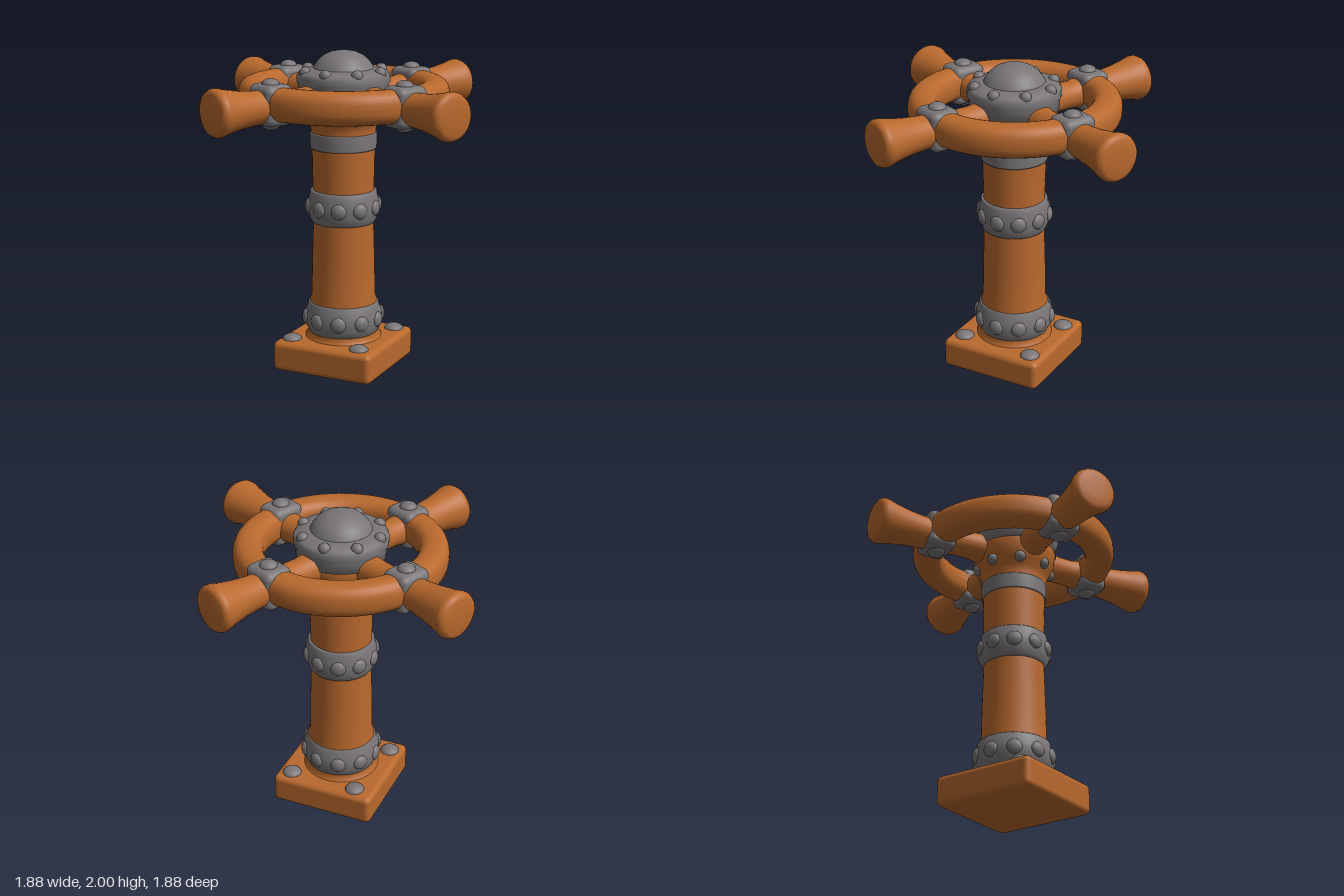
import * as THREE from 'three';
import { RoundedBoxGeometry } from 'three/addons/geometries/RoundedBoxGeometry.js';

const wood = new THREE.MeshStandardMaterial({ name: 'orangeWood', color: 0xb9692d });
const metal = new THREE.MeshStandardMaterial({ name: 'greyMetal', color: 0x7a7678 });

function add(parent, name, geometry, material, x = 0, y = 0, z = 0) {
  const mesh = new THREE.Mesh(geometry, material);
  mesh.name = name;
  mesh.position.set(x, y, z);
  parent.add(mesh);
  return mesh;
}

function lathe(profile, segments = 48) {
  return new THREE.LatheGeometry(profile.map(([r, y]) => new THREE.Vector2(r, y)), segments);
}

// Ring of half-sunk rivets around the vertical axis
function rivetRing(parent, name, count, radius, y, size, squash = 1, phase = 0) {
  const geometry = new THREE.SphereGeometry(size, 14, 10);
  for (let i = 0; i < count; i++) {
    const a = (i + phase) * Math.PI * 2 / count;
    const rivet = add(parent, name, geometry, metal, Math.sin(a) * radius, y, Math.cos(a) * radius);
    rivet.rotation.y = a;
    rivet.scale.z = squash;
  }
}

// Bulging metal band with hammered studs
function studdedBand(parent, name, y, height, edge, belly) {
  const h = height / 2;
  add(parent, name, lathe([
    [edge - 0.04, -h], [edge - 0.005, -h], [edge + 0.005, -h + 0.012], [belly, -h * 0.4],
    [belly, h * 0.3], [edge + 0.012, h - 0.03], [edge + 0.01, h - 0.008], [edge, h], [edge - 0.04, h],
  ]), metal, 0, y, 0);
  rivetRing(parent, name + 'Stud', 10, belly - 0.01, y, 0.05, 0.6, 0.5);
}

function createPost() {
  const post = new THREE.Group();
  post.name = 'post';
  add(post, 'basePlate', new RoundedBoxGeometry(0.67, 0.19, 0.67, 4, 0.035), wood, 0, 0.098, 0);

  // Base bolts
  const bolt = new THREE.SphereGeometry(0.062, 18, 12);
  for (const [x, z] of [[0.24, -0.245], [-0.2, -0.25], [0.22, 0.24], [-0.25, 0.225]]) {
    add(post, 'baseBolt', bolt, metal, x, 0.188, z).scale.y = 0.6;
  }

  // Column flaring into the wheel hub
  add(post, 'column', lathe([
    [0.24, 0.18], [0.24, 0.2], [0.215, 0.22], [0.212, 0.43], [0.2, 0.46], [0.197, 0.65],
    [0.188, 0.95], [0.19, 1.15], [0.195, 1.4], [0.2, 1.52], [0.212, 1.56],
    [0.235, 1.6], [0.255, 1.65], [0.265, 1.72], [0.25, 1.8],
  ]), wood);

  studdedBand(post, 'lowerBand', 0.322, 0.205, 0.212, 0.243);
  studdedBand(post, 'middleBand', 1.038, 0.205, 0.197, 0.222);
  add(post, 'upperBand', lathe([
    [0.18, 1.402], [0.203, 1.402], [0.206, 1.41], [0.206, 1.495], [0.203, 1.502], [0.18, 1.502],
  ]), metal);
  return post;
}

function createHub() {
  const hub = new THREE.Group();
  hub.name = 'hub';
  // Metal cap with stepped rim
  add(hub, 'hubCap', lathe([
    [0.24, 1.73], [0.272, 1.73], [0.275, 1.79], [0.285, 1.81], [0.285, 1.85],
    [0.272, 1.872], [0.225, 1.888], [0.18, 1.895], [0, 1.895],
  ]), metal);
  add(hub, 'hubDome', lathe([
    [0.195, 1.87], [0.19, 1.885], [0.178, 1.91], [0.155, 1.942], [0.12, 1.972],
    [0.075, 1.992], [0.035, 1.999], [0, 2],
  ]), metal);
  rivetRing(hub, 'capRivet', 8, 0.245, 1.874, 0.037);
  rivetRing(hub, 'lowerRivet', 8, 0.228, 1.605, 0.036);
  return hub;
}

function createSpoke() {
  const spoke = new THREE.Group();
  spoke.name = 'spoke';
  // Spoke and flared handle, turned along the x axis
  const shaft = lathe([
    [0.1, 0.2], [0.085, 0.32], [0.085, 0.42], [0.1, 0.5], [0.1, 0.62], [0.102, 0.68],
    [0.112, 0.78], [0.13, 0.88], [0.143, 0.93], [0.143, 0.95], [0.133, 0.97],
    [0.112, 0.981], [0.06, 0.986], [0, 0.987],
  ], 32).rotateZ(-Math.PI / 2);
  add(spoke, 'handle', shaft, wood);

  // Clamp over the rim with studs on its faces
  add(spoke, 'rimClamp', new RoundedBoxGeometry(0.19, 0.245, 0.22, 4, 0.045), metal, 0.555, 0.01, 0);
  const stud = new THREE.SphereGeometry(0.055, 16, 12);
  for (const side of [-1, 1]) {
    add(spoke, 'clampStud', stud, metal, 0.555, 0.01 + side * 0.118, 0).scale.y = 0.65;
    add(spoke, 'clampStud', stud, metal, 0.555, 0.01, side * 0.1).scale.z = 0.6;
  }
  return spoke;
}

function createWheel() {
  const wheel = new THREE.Group();
  wheel.name = 'wheel';
  // Rim with a slightly squared round section
  const section = [];
  for (let i = 0; i <= 28; i++) {
    const a = Math.PI + i * Math.PI * 2 / 28;
    const soft = (v) => Math.sign(v) * Math.pow(Math.abs(v), 0.8);
    section.push([0.553 + 0.093 * soft(Math.cos(a)), 0.1 * soft(Math.sin(a))]);
  }
  add(wheel, 'rim', lathe(section, 80), wood, 0, 0.018, 0);

  for (let i = 0; i < 4; i++) {
    const spoke = createSpoke();
    spoke.rotation.y = -THREE.MathUtils.degToRad(24.6) + i * Math.PI / 2;
    wheel.add(spoke);
  }
  wheel.position.set(0, 1.718, -0.005);
  return wheel;
}

export function createModel() {
  const model = new THREE.Group();
  model.name = 'wheelValve';
  model.add(createPost(), createHub(), createWheel());
  return model;
}
